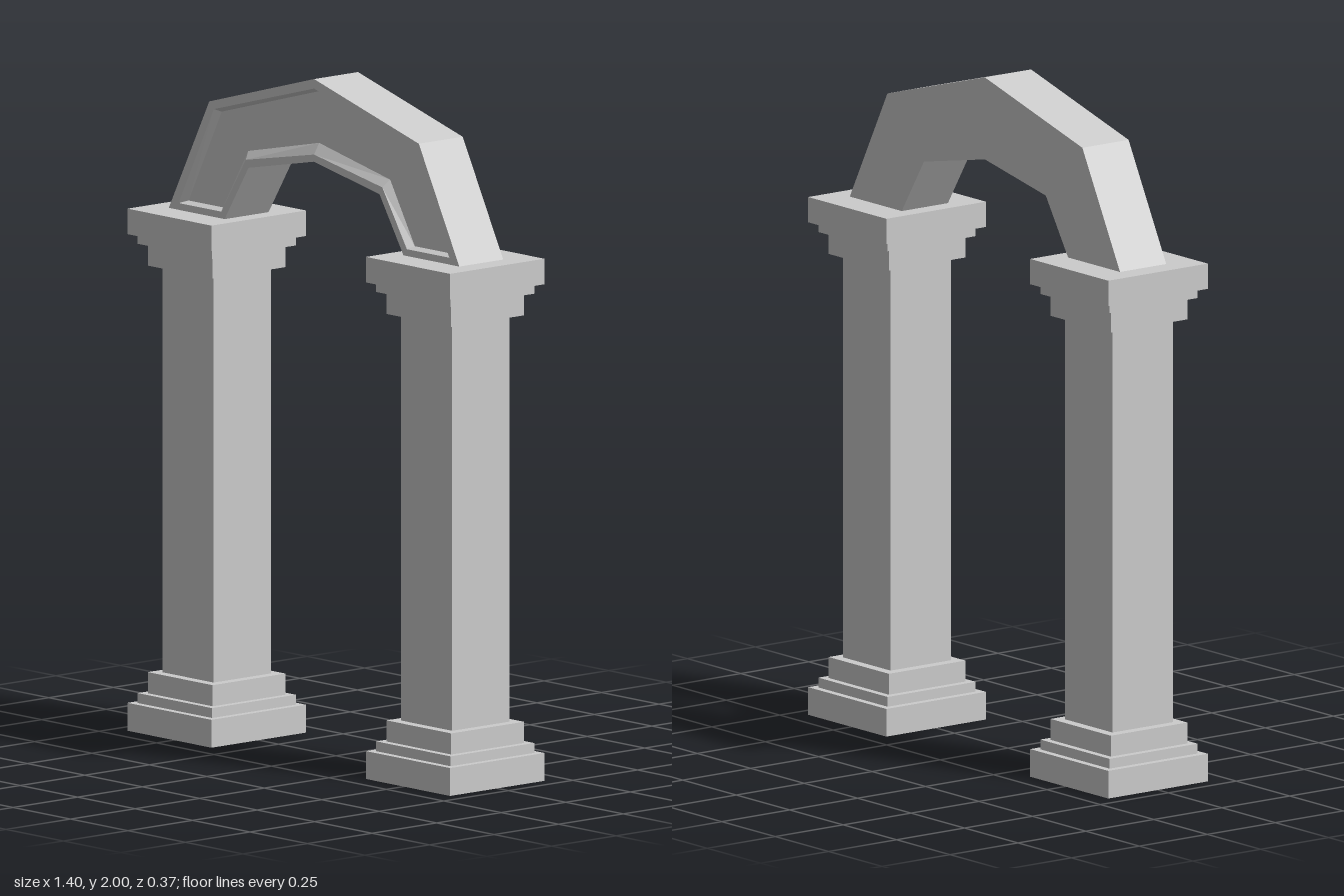
import * as THREE from 'three';

const stone = new THREE.MeshStandardMaterial({ color: 0xcccccc, flatShading: true });
const shell = new THREE.MeshStandardMaterial({ color: 0xcccccc, flatShading: true, side: THREE.DoubleSide });

const CENTRE_X = 0.519;
const HALF_DEPTH = 0.085;

// Half width and height up the stepped column; the plinth is open underneath
const columnProfile = [
  [0.183, 0], [0.183, 0.082], [0.162, 0.082], [0.162, 0.111], [0.141, 0.111], [0.141, 0.173], [0.111, 0.173],
  [0.111, 1.368], [0.141, 1.368], [0.141, 1.432], [0.162, 1.432], [0.162, 1.46], [0.183, 1.46], [0.183, 1.535], [0, 1.535],
];

// A four-sided lathe gives square sections
function squareLathe(profile) {
  const points = profile.map(([half, y]) => new THREE.Vector2(half * Math.SQRT2, y));
  return new THREE.LatheGeometry(points, 4, Math.PI / 4);
}

function createColumn(x, name) {
  const column = new THREE.Group();
  column.name = name;
  column.position.x = x;
  const body = new THREE.Mesh(squareLathe(columnProfile), shell);
  body.name = 'columnBody';
  const ceiling = new THREE.Mesh(squareLathe([[0, 0.111], [0.141, 0.111]]), shell);
  ceiling.name = 'plinthCeiling';
  column.add(body, ceiling);
  return column;
}

// Symmetric arch outline, counter-clockwise as seen from the front
function archLoop(z, outerFoot, shoulder, crownY, haunch, innerFoot, innerCrownY) {
  const flip = ([x, y]) => [-x, y];
  return [
    outerFoot, shoulder, [0, crownY], flip(shoulder), flip(outerFoot),
    flip(innerFoot), flip(haunch), [0, innerCrownY], haunch, innerFoot,
  ].map(([x, y]) => new THREE.Vector3(x, y, z));
}

// Joins successive loops with walls and caps the first and last
function loftLoops(loops) {
  const points = [];
  for (let k = 0; k < loops.length - 1; k++) {
    const a = loops[k], b = loops[k + 1];
    a.forEach((p, i) => {
      const j = (i + 1) % a.length;
      points.push(p, a[j], b[j], p, b[j], b[i]);
    });
  }
  const cap = (loop, reverse) => {
    const flat = loop.map((p) => new THREE.Vector2(p.x, p.y));
    for (const [i, j, k] of THREE.ShapeUtils.triangulateShape(flat, [])) {
      points.push(loop[i], loop[reverse ? k : j], loop[reverse ? j : k]);
    }
  };
  cap(loops[0], true);
  cap(loops[loops.length - 1], false);
  const geometry = new THREE.BufferGeometry().setFromPoints(points);
  geometry.computeVertexNormals();
  return geometry;
}

// Faceted arch: plain back, framed and bevelled recess in the front
function createArch() {
  const outline = [[0.632, 1.535], [0.456, 1.872], 2, [0.285, 1.7], [0.389, 1.535], 1.757];
  const opening = [[0.589, 1.555], [0.436, 1.852], 1.972, [0.297, 1.722], [0.404, 1.555], 1.778];
  const panel = [[0.568, 1.563], [0.424, 1.844], 1.962, [0.309, 1.744], [0.416, 1.563], 1.81];
  const arch = new THREE.Mesh(loftLoops([
    archLoop(-HALF_DEPTH, ...outline),
    archLoop(HALF_DEPTH, ...outline),
    archLoop(HALF_DEPTH, ...opening),
    archLoop(HALF_DEPTH - 0.02, ...panel),
  ]), stone);
  arch.name = 'arch';
  return arch;
}

export function createModel() {
  const model = new THREE.Group();
  model.name = 'archway';
  model.add(createColumn(CENTRE_X, 'leftColumn'), createColumn(-CENTRE_X, 'rightColumn'), createArch());
  return model;
}
